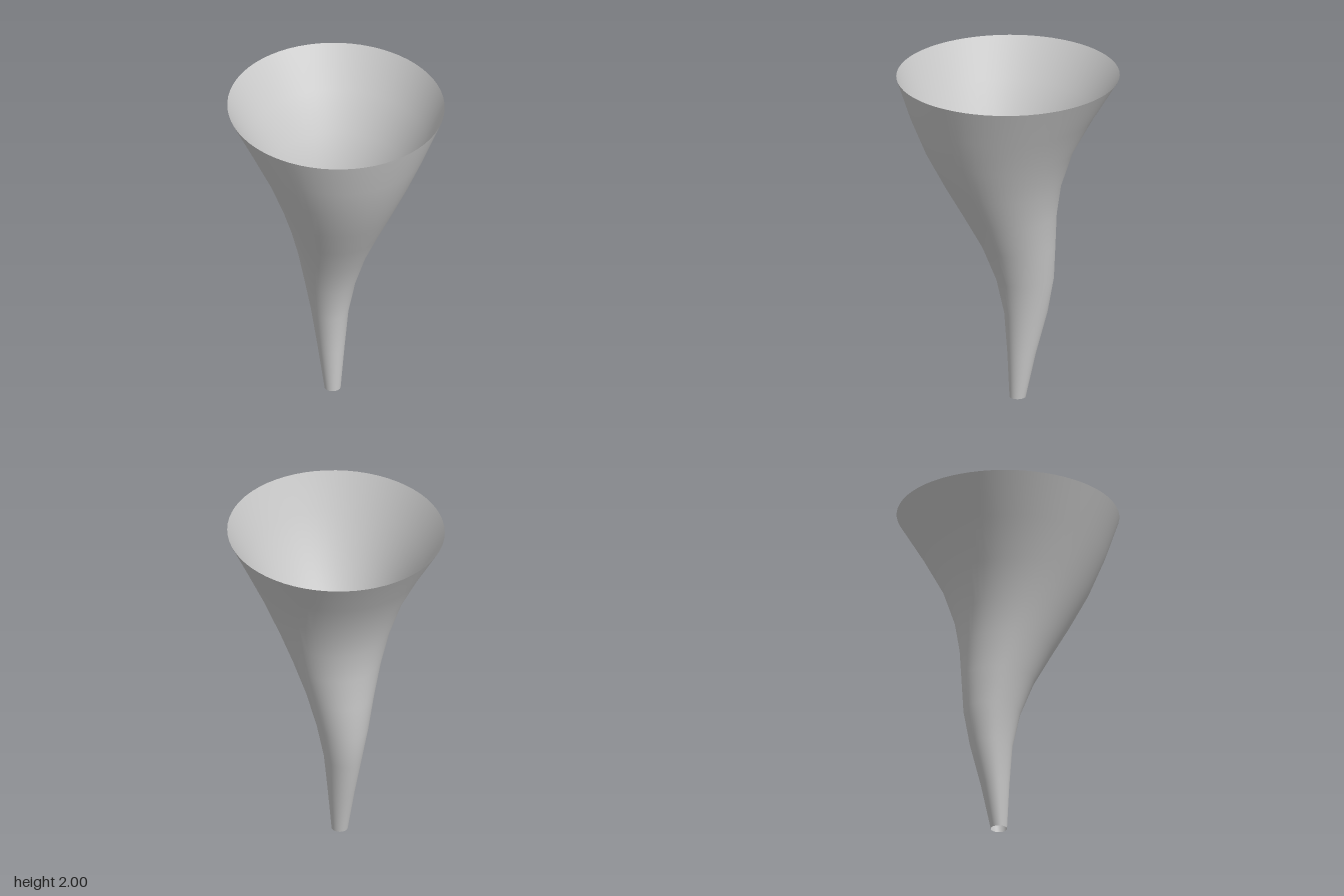
import * as THREE from 'three';

// Cross-sections from the tip up: height, half width, front z, back z
const RINGS = [
  [0.00, 0.047, -0.010, -0.104],
  [0.27, 0.077, 0.002, -0.165],
  [0.52, 0.107, 0.020, -0.234],
  [0.73, 0.147, 0.066, -0.270],
  [0.94, 0.196, 0.150, -0.277],
  [1.14, 0.256, 0.260, -0.282],
  [1.33, 0.322, 0.368, -0.307],
  [1.55, 0.410, 0.483, -0.378],
  [1.77, 0.513, 0.572, -0.500],
  [2.00, 0.624, 0.647, -0.645],
];
const SEGMENTS = 64;

// Open skin through a stack of elliptical rings
function loft(rings, segments) {
  const positions = [];
  const index = [];
  rings.forEach(([y, rx, front, back], r) => {
    const cz = (front + back) / 2;
    const rz = (front - back) / 2;
    for (let s = 0; s < segments; s++) {
      const a = (s / segments) * Math.PI * 2;
      positions.push(Math.sin(a) * rx, y, cz + Math.cos(a) * rz);
      if (r === 0) continue;
      const next = (s + 1) % segments;
      const a0 = (r - 1) * segments + s;
      const b0 = (r - 1) * segments + next;
      const a1 = r * segments + s;
      const b1 = r * segments + next;
      index.push(a0, b0, b1, a0, b1, a1);
    }
  });
  const geometry = new THREE.BufferGeometry();
  geometry.setAttribute('position', new THREE.Float32BufferAttribute(positions, 3));
  geometry.setIndex(index);
  geometry.computeVertexNormals();
  return geometry;
}

export function createModel() {
  const model = new THREE.Group();
  model.name = 'curvedFunnel';

  // Thin flared horn, open at both ends
  const material = new THREE.MeshStandardMaterial({ color: 0xcccccc, side: THREE.DoubleSide });
  const horn = new THREE.Mesh(loft(RINGS, SEGMENTS), material);
  horn.name = 'horn';
  model.add(horn);

  return model;
}
